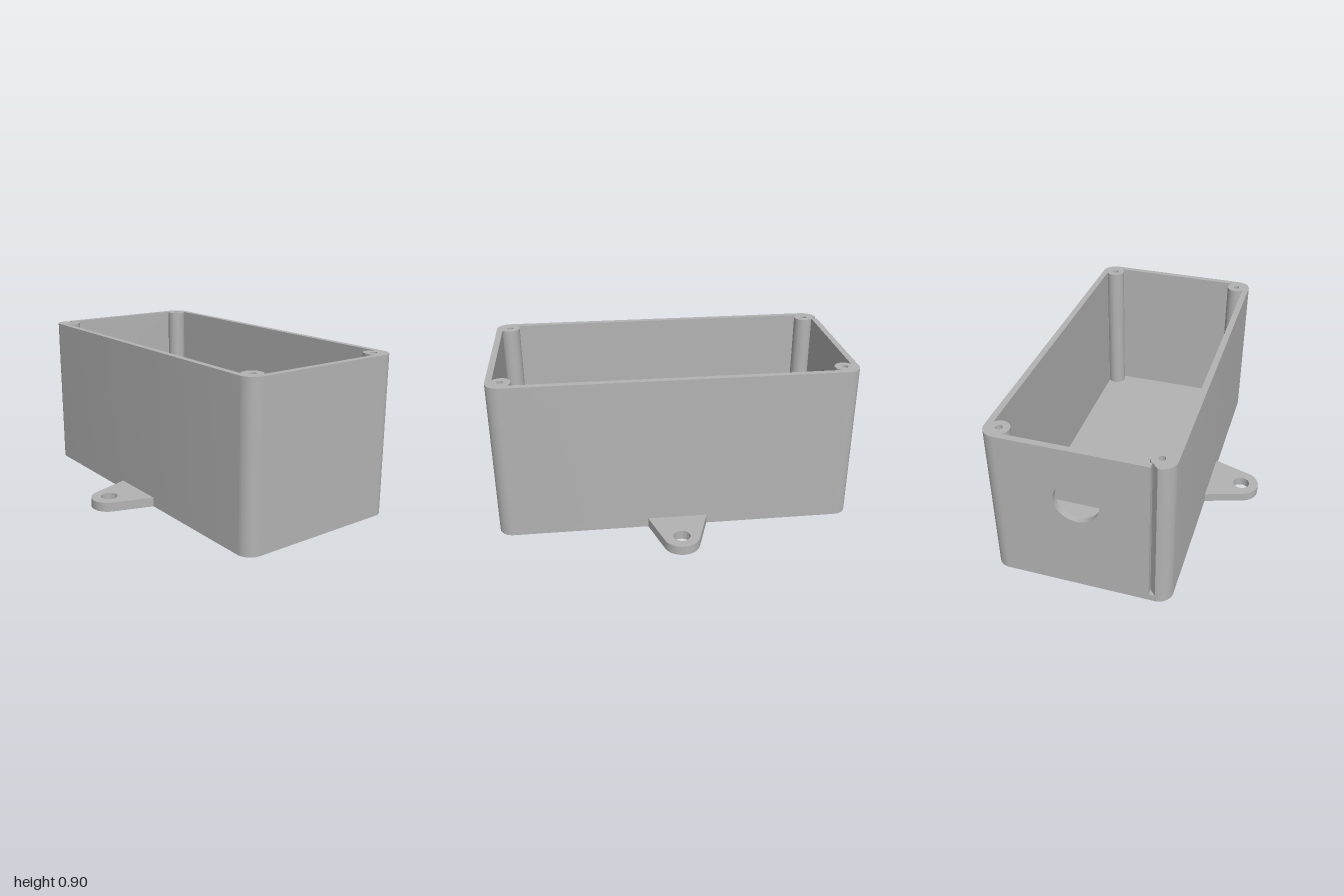
import * as THREE from 'three';
import { toCreasedNormals } from 'three/addons/utils/BufferGeometryUtils.js';

const HX = 1, HZ = 0.493, H = 0.897;       // half length, half depth, height
const R = 0.08, WALL = 0.035, FLOOR = 0.04;
const CX = HX - R, CZ = HZ - R;            // screw post centres
const POST = 0.056, PI = Math.PI;

const grey = new THREE.MeshStandardMaterial({ color: 0xb3b3b3 });
grey.name = 'grey plastic';

function circle(x, y, r) {
  return new THREE.Path().absarc(x, y, r, 0, PI * 2, true);
}

// Extrudes a plan drawn in x and -z upwards from y0
function slab(name, shape, y0, height) {
  const geo = new THREE.ExtrudeGeometry(shape, { depth: height, bevelEnabled: false, curveSegments: 32 });
  geo.rotateX(-PI / 2).translate(0, y0, 0);
  const mesh = new THREE.Mesh(toCreasedNormals(geo, PI / 5), grey);
  mesh.name = name;
  return mesh;
}

// Adds the four rounded outer corners, counter-clockwise from the (-,-) one
function outerCorners(shape) {
  [[-1, -1], [1, -1], [1, 1], [-1, 1]].forEach(([sx, sy], i) => {
    const a = PI + i * PI / 2;
    shape.absarc(sx * CX, sy * CZ, R, a, a + PI / 2, false);
  });
}

export function createModel() {
  const model = new THREE.Group();
  model.name = 'mountingBox';

  // Floor with two small drain holes
  const floor = new THREE.Shape();
  outerCorners(floor);
  floor.closePath();
  for (const s of [-1, 1]) floor.holes.push(circle(-0.813, s * 0.278, 0.021));
  model.add(slab('floor', floor, 0, FLOOR));

  // Walls and screw posts in one outline, open at the -x end for the cable panel
  const toWall = R - WALL;
  const meet = Math.acos(toWall / POST);
  const gap = CZ - POST * Math.sin(meet);
  const half = PI * 0.75 - meet;
  const walls = new THREE.Shape();
  walls.moveTo(-HX, -gap);
  outerCorners(walls);
  walls.lineTo(-HX, gap);
  walls.lineTo(-HX + WALL, gap);
  [[-1, 1], [1, 1], [1, -1], [-1, -1]].forEach(([sx, sy], i) => {
    const mid = -PI / 4 - i * PI / 2;
    walls.absarc(sx * CX, sy * CZ, POST, mid - half, mid + half, false);
    walls.holes.push(circle(sx * CX, sy * CZ, 0.018));
  });
  walls.closePath();
  model.add(slab('wallsAndScrewPosts', walls, FLOOR, H - FLOOR));

  // End panel with the round cable opening
  const panel = new THREE.Shape();
  panel.moveTo(-gap, FLOOR).lineTo(gap, FLOOR).lineTo(gap, H).lineTo(-gap, H).closePath();
  panel.holes.push(circle(0, 0.575, 0.122));
  const panelGeo = new THREE.ExtrudeGeometry(panel, { depth: WALL, bevelEnabled: false, curveSegments: 32 });
  panelGeo.rotateY(PI / 2).translate(-HX, 0, 0);
  const panelMesh = new THREE.Mesh(toCreasedNormals(panelGeo, PI / 5), grey);
  panelMesh.name = 'cablePanel';
  model.add(panelMesh);

  // Low divider rib across the floor
  const ribHeight = 0.2;
  const rib = new THREE.Mesh(new THREE.BoxGeometry(0.022, ribHeight, 0.716), grey);
  rib.position.set(-0.444, FLOOR + ribHeight / 2, 0);
  rib.name = 'dividerRib';
  model.add(rib);

  // Tapered mounting ears, front and back
  const earZ = 0.682, earR = 0.101, base = 0.167;
  const dy = HZ - earZ;
  const tangent = Math.atan2(dy, base) + Math.acos(earR / Math.hypot(base, dy));
  const ear = new THREE.Shape();
  ear.moveTo(-base, HZ).lineTo(base, HZ);
  ear.absarc(0, earZ, earR, tangent, PI - tangent, false);
  ear.closePath();
  ear.holes.push(circle(0, earZ, 0.047));
  const backEar = slab('backEar', ear, 0, 0.053);
  const frontEar = backEar.clone();
  frontEar.name = 'frontEar';
  frontEar.rotation.y = PI;
  model.add(backEar, frontEar);

  return model;
}
